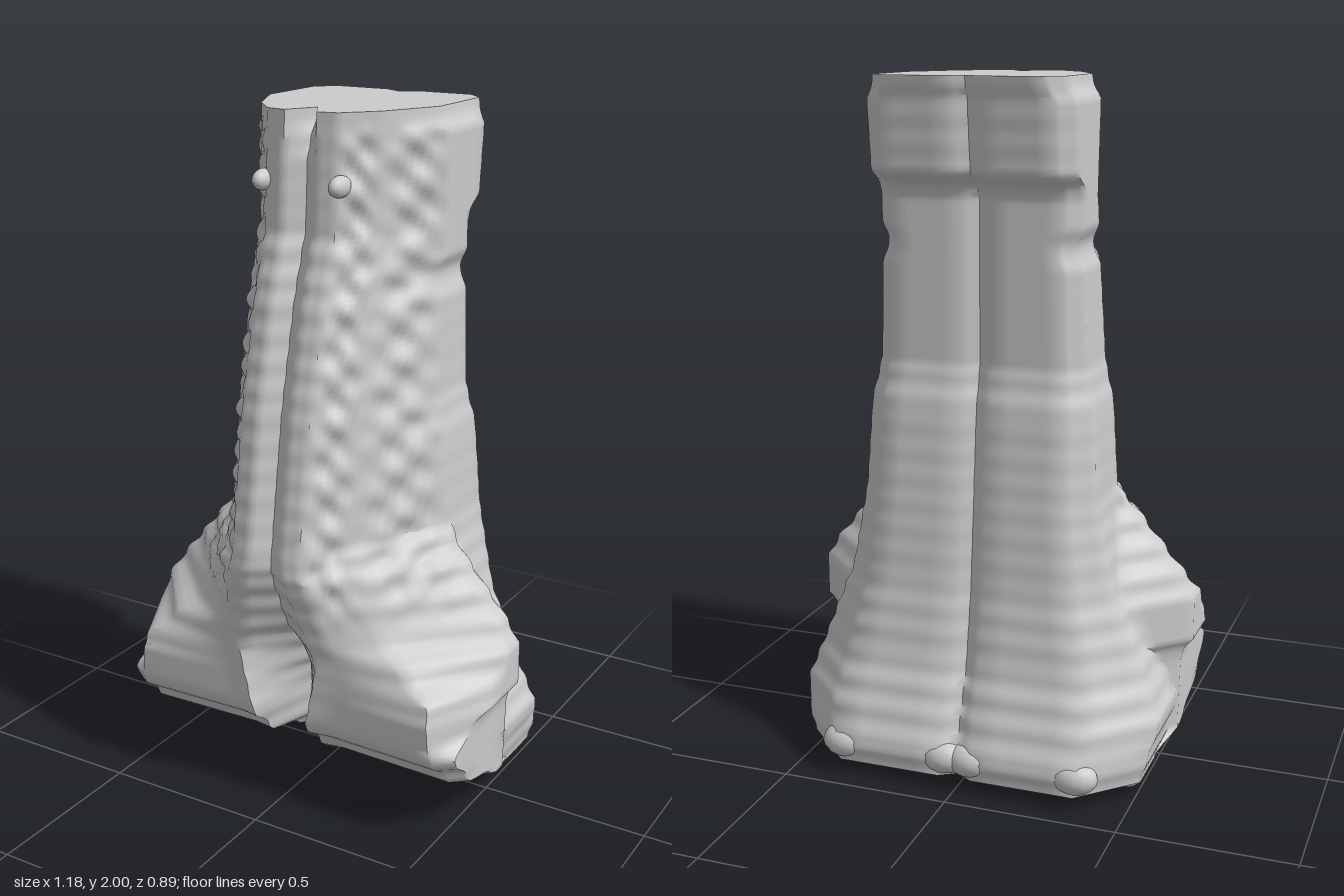
import * as THREE from 'three';
import { toCreasedNormals } from 'three/addons/utils/BufferGeometryUtils.js';

const { lerp, clamp, smoothstep } = THREE.MathUtils;

// Piecewise-linear profile from [height, value] pairs, top to bottom
const profile = (...keys) => (y) => {
  let i = 0;
  while (i < keys.length - 2 && y < keys[i + 1][0]) i++;
  const [y0, v0] = keys[i], [y1, v1] = keys[i + 1];
  return lerp(v0, v1, clamp((y0 - y) / (y0 - y1), 0, 1));
};

// Outline of the body; the rear of each shoulder stays narrower than its tip
const frontZ = profile([2, 0.22], [1.68, 0.24], [1.5, 0.3], [1.2, 0.37], [0.95, 0.41], [0.75, 0.44], [0.6, 0.4],
  [0.48, 0.375], [0.27, 0.37], [0.15, 0.25], [0.1, 0.08], [0.04, -0.05]);
const backZ = profile([2, -0.34], [1.95, -0.32], [1.75, -0.3], [1.68, -0.23], [1.2, -0.23],
  [1.08, -0.26], [0.57, -0.31], [0.35, -0.35], [0.1, -0.44], [0.04, -0.43]);
const halfWidth = profile([2, 0.27], [1.93, 0.3], [1.6, 0.3], [1.54, 0.28], [1.47, 0.3], [1.2, 0.31], [1.08, 0.335],
  [0.82, 0.35], [0.74, 0.41], [0.57, 0.55], [0.5, 0.59], [0.38, 0.59], [0.33, 0.555], [0.1, 0.55], [0.04, 0.51]);
const rearWidth = profile([1.08, 0.34], [0.82, 0.35], [0.57, 0.4], [0.38, 0.48], [0.2, 0.55], [0.04, 0.51]);

// Front corner of each half, and how far it, the side and the groove lie behind the front
const cornerX = profile([2, 0.19], [0.82, 0.2], [0.57, 0.29], [0.5, 0.38], [0.42, 0.48], [0.1, 0.51], [0.04, 0.47]);
const cornerSetback = profile([2, 0.1], [0.82, 0.14], [0.57, 0.09], [0.48, 0.04], [0.38, 0]);
const sideSetback = profile([2, 0.27], [0.82, 0.42], [0.57, 0.35], [0.38, 0.2], [0.27, 0.04]);
const grooveDepth = profile([2, 0.09], [1.88, 0.04], [0.75, 0.04], [0.57, 0.07], [0.38, 0.2], [0.27, 0.36],
  [0.15, 0.3], [0.04, 0.1]);
const grooveHalfWidth = profile([0.8, 0.05], [0.46, 0.13], [0.27, 0.09]);

// Closed ring of points around the body at height y, stepped into soft terraces
function ringAt(y) {
  const k = (2 * Math.PI) / 0.075;
  const h = y + (0.7 / k) * Math.sin(k * y);
  const w = halfWidth(h), zf = frontZ(h), zk = backZ(h), gx = grooveHalfWidth(h);
  const rw = Math.min(w, rearWidth(h));
  const chop = 0.05 + 0.5 * Math.max(0, rw - 0.3);
  const sideZ = zf - sideSetback(h);
  const rearZ = Math.min(sideZ - 0.03, 0);
  const corners = [
    [0, zf - grooveDepth(h)], [gx, zf], [gx + 0.06, zf - 0.01], [cornerX(h), zf - cornerSetback(h)],
    [w, sideZ], [w, rearZ], [rw, rearZ - (w - rw)], [rw, zk + chop], [rw - chop, zk], [0.05, zk], [0, zk + 0.03],
  ];
  // Pebbled relief on the slanted front faces
  const relief = 0.011 * smoothstep(y, 0.56, 0.75) * (1 - smoothstep(y, 1.9, 1.98));
  const half = [];
  [4, 3, 8, 10, 3, 4, 4, 4, 4, 2].forEach((n, s) => {
    for (let j = 0; j < n; j++) {
      const t = j / n;
      const x = lerp(corners[s][0], corners[s + 1][0], t);
      const z = lerp(corners[s][1], corners[s + 1][1], t);
      const slanted = s === 2 || s === 3;
      const bump = slanted ? relief * Math.sin(Math.PI * t) * Math.sin(80 * x + 12 * y) * Math.sin(52 * y + 20 * x) : 0;
      half.push([x + bump, y, z + bump]);
    }
  });
  const mirrored = half.slice(1).reverse().map(([x, , z]) => [-x, y, z]);
  return [...half, [0, y, zk + 0.03], ...mirrored];
}

// Rings joined from top to bottom and capped at both ends
function bodyGeometry() {
  const rows = 150, index = [];
  const points = Array.from({ length: rows + 1 }, (_, r) => ringAt(2 - (1.96 * r) / rows)).flat();
  const n = points.length / (rows + 1);
  const top = points.length, bottom = top + 1;
  points.push([0, 2, -0.08], [0, 0.04, -0.25]);
  for (let i = 0; i < n; i++) {
    const j = (i + 1) % n;
    for (let r = 0; r < rows; r++) {
      const a = r * n + i, b = r * n + j, c = a + n, d = b + n;
      index.push(a, c, b, b, c, d);
    }
    index.push(top, i, j, bottom, rows * n + j, rows * n + i);
  }
  const geo = new THREE.BufferGeometry();
  geo.setAttribute('position', new THREE.Float32BufferAttribute(points.flat(), 3));
  geo.setIndex(index);
  return toCreasedNormals(geo, 1);
}

export function createModel() {
  const group = new THREE.Group();
  const material = new THREE.MeshStandardMaterial({ color: 0xcccccc });

  // Column flaring into two toes
  const body = new THREE.Mesh(bodyGeometry(), material);
  body.name = 'body';
  group.add(body);

  const ball = new THREE.SphereGeometry(1, 14, 10);
  const addKnob = (name, position, radii) => {
    const knob = new THREE.Mesh(ball, material);
    knob.name = name;
    knob.position.set(...position);
    knob.scale.set(...radii);
    group.add(knob);
  };
  for (const s of [-1, 1]) {
    const side = s > 0 ? 'left' : 'right';
    // Small feet under the base
    addKnob(side + 'OuterStud', [s * 0.465, 0.04, -0.22], [0.04, 0.04, 0.06]);
    addKnob(side + 'InnerStud', [s * 0.055, 0.04, -0.22], [0.04, 0.04, 0.06]);
    // Low swellings along the back edge
    addKnob(side + 'HeelKnob', [s * 0.35, 0.09, -0.4], [0.07, 0.05, 0.05]);
    addKnob(side + 'MiddleHeelKnob', [s * 0.04, 0.09, -0.4], [0.07, 0.05, 0.05]);
    // Little horn near the top of the front
    addKnob(side + 'Horn', [s * 0.12, 1.81, 0.22], [0.025, 0.03, 0.045]);
  }
  return group;
}
